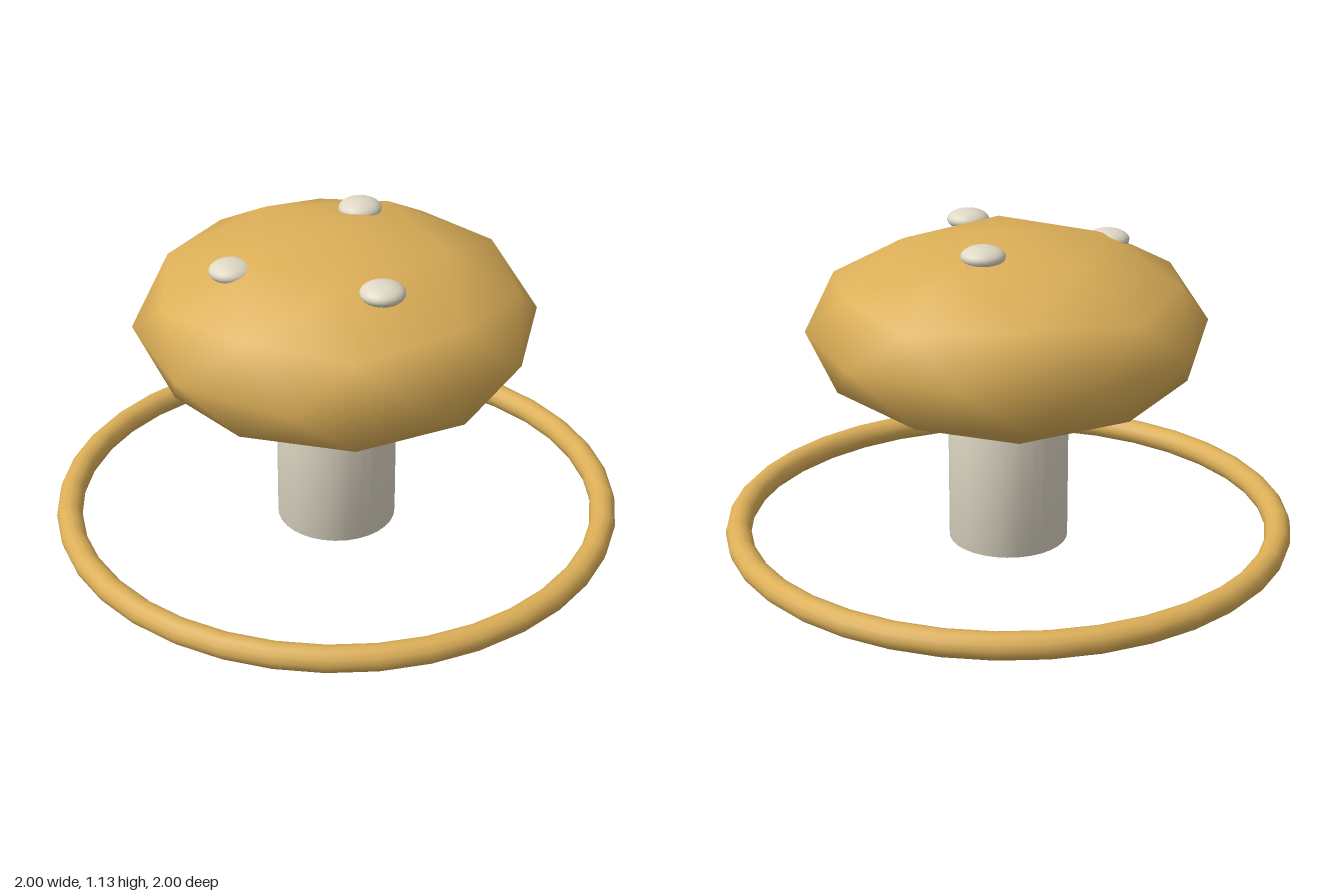
import * as THREE from 'three';
import { mergeVertices } from 'three/addons/utils/BufferGeometryUtils.js';

const gold = new THREE.MeshStandardMaterial({ color: 0xdcaf58 });
gold.name = 'gold';
const cream = new THREE.MeshStandardMaterial({ color: 0xdfd8c5 });
cream.name = 'cream';

export function createModel() {
  const group = new THREE.Group();
  group.name = 'mushroom';

  function add(name, geometry, material, x, y, z) {
    const mesh = new THREE.Mesh(geometry, material);
    mesh.name = name;
    mesh.position.set(x, y, z);
    group.add(mesh);
    return mesh;
  }

  // Cap: flattened icosphere, turned so one corner is the pole
  const capGeometry = new THREE.IcosahedronGeometry(1, 1);
  capGeometry.rotateZ(-Math.atan(2 / (1 + Math.sqrt(5))));
  capGeometry.scale(0.695, 0.34, 0.695);
  add('cap', capGeometry, gold, 0, 0.78, 0);

  // Stem: cylinder with normals smoothed over its ends
  const stemHeight = 0.7;
  let stemGeometry = new THREE.CylinderGeometry(0.21, 0.21, stemHeight, 32);
  stemGeometry.deleteAttribute('uv');
  stemGeometry.deleteAttribute('normal');
  stemGeometry = mergeVertices(stemGeometry);
  stemGeometry.computeVertexNormals();
  add('stem', stemGeometry, cream, 0, stemHeight / 2, 0);

  // Ring lying around the foot
  const ringGeometry = new THREE.TorusGeometry(0.953, 0.045, 12, 36);
  ringGeometry.rotateX(Math.PI / 2);
  add('groundRing', ringGeometry, gold, 0, 0.06, 0);

  // Flattened spots, partly sunk into the cap
  const spotGeometry = new THREE.SphereGeometry(1, 24, 16);
  spotGeometry.scale(0.075, 0.036, 0.075);
  const spots = [
    ['backSpot', 0.035, 1.09, -0.225],
    ['frontLeftSpot', 0.22, 1.057, 0.33],
    ['frontRightSpot', -0.3, 1.04, 0.24],
  ];
  for (const [name, x, y, z] of spots) add(name, spotGeometry, cream, x, y, z);

  return group;
}
